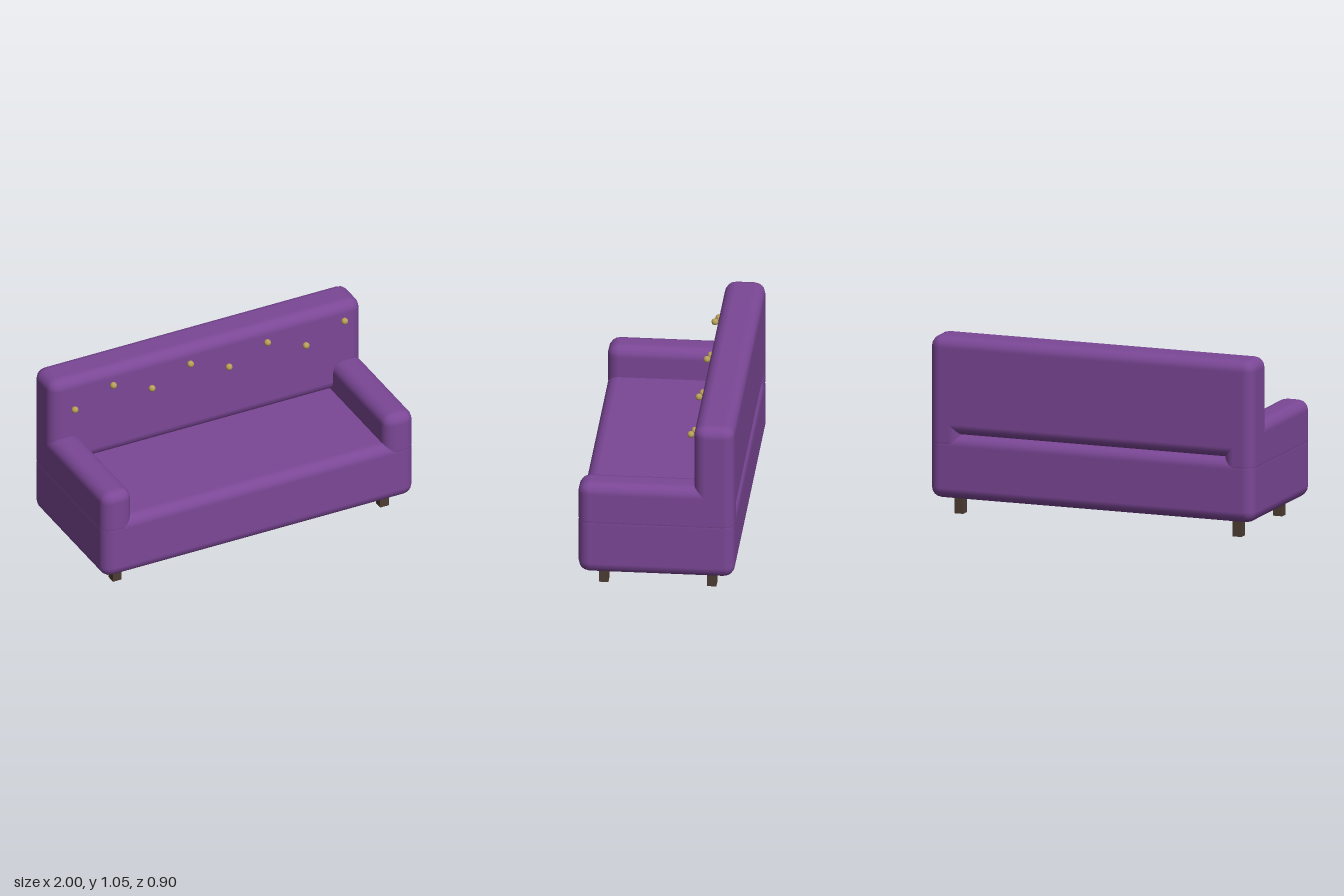
import * as THREE from 'three';
import { RoundedBoxGeometry } from 'three/addons/geometries/RoundedBoxGeometry.js';

export function createModel() {
  const sofa = new THREE.Group();
  sofa.name = 'sofa';
  const fabric = new THREE.MeshStandardMaterial({ color: 0x7b4796 });
  const brass = new THREE.MeshStandardMaterial({ color: 0xb8a05a });
  const wood = new THREE.MeshStandardMaterial({ color: 0x4d3d33 });

  const add = (name, geometry, material, x, y, z) => {
    const mesh = new THREE.Mesh(geometry, material);
    mesh.name = name;
    mesh.position.set(x, y, z);
    sofa.add(mesh);
  };

  // Upholstered block given by its lower and upper corners
  const cushion = (name, [x0, y0, z0], [x1, y1, z1]) => add(
    name, new RoundedBoxGeometry(x1 - x0, y1 - y0, z1 - z0, 2, 0.066), fabric,
    (x0 + x1) / 2, (y0 + y1) / 2, (z0 + z1) / 2);

  cushion('seatBase', [-1, 0.1, -0.45], [1, 0.48, 0.45]);
  cushion('backrest', [-1, 0.475, -0.45], [1, 1.05, -0.215]);
  cushion('leftArm', [0.81, 0.37, -0.45], [1, 0.668, 0.45]);
  cushion('rightArm', [-1, 0.37, -0.45], [-0.81, 0.668, 0.45]);

  // Zigzag row of buttons in front of the backrest
  const buttonGeometry = new THREE.SphereGeometry(0.02, 16, 12);
  for (let i = 0; i < 8; i++) {
    add('button', buttonGeometry, brass, -0.86 + i * 0.2475, i % 2 ? 0.953 : 0.86, -0.19);
  }

  // Short square legs
  const legGeometry = new THREE.BoxGeometry(0.055, 0.11, 0.055);
  for (const x of [-0.858, 0.858]) {
    for (const z of [-0.31, 0.31]) add('leg', legGeometry, wood, x, 0.055, z);
  }
  return sofa;
}
